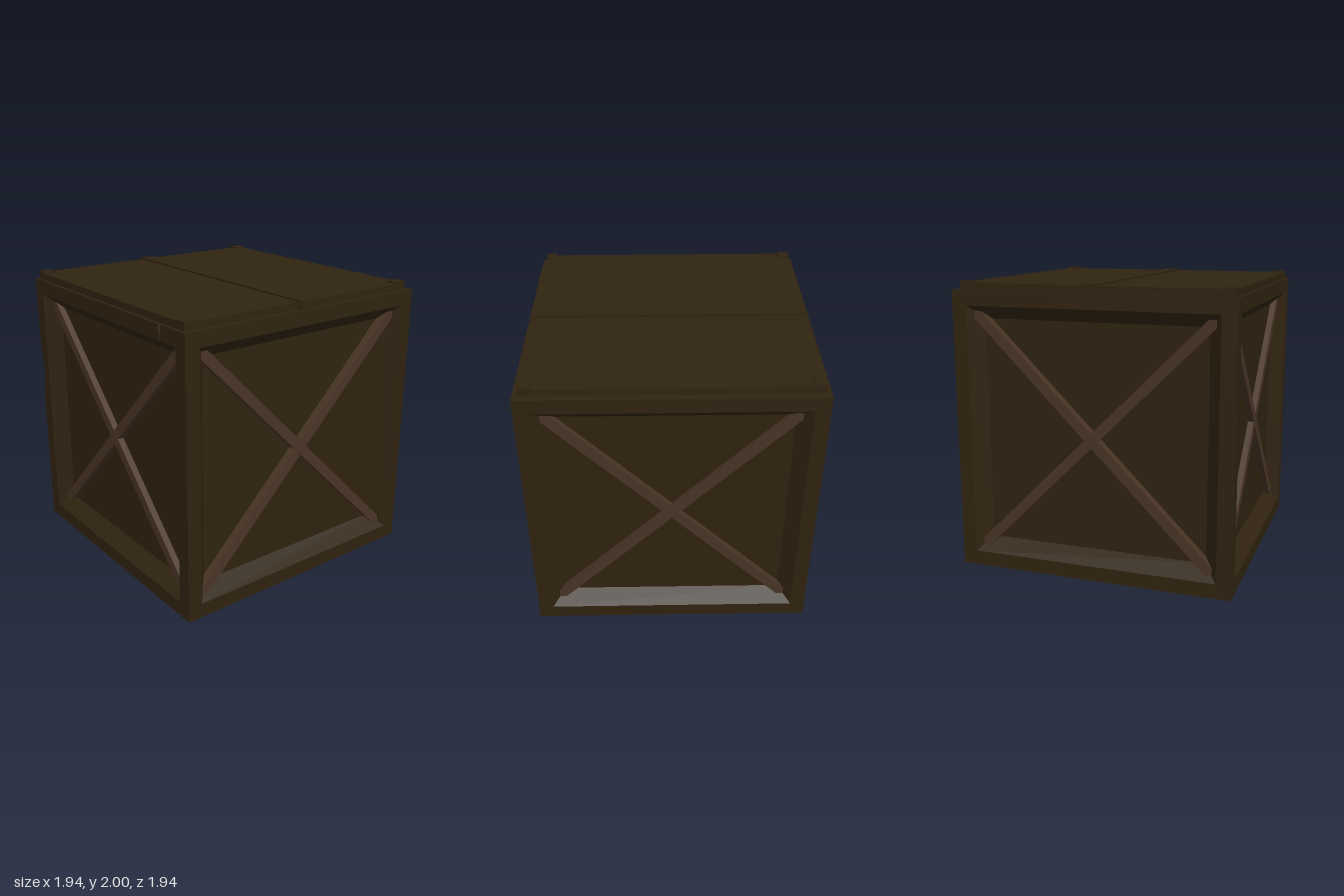
import * as THREE from 'three';

const H = 0.97;        // half size of the crate body
const OPEN = 0.868;    // half size of the recess mouth
const INNER = 0.778;   // half size of the recessed panel
const DEPTH = 0.1;     // recess depth

const wood = new THREE.MeshStandardMaterial({ color: 0x302310 });
wood.name = 'darkWood';
const braceWood = new THREE.MeshStandardMaterial({ color: 0x483425 });
braceWood.name = 'braceWood';

function add(parent, name, geometry, material, x = 0, y = 0, z = 0) {
  const mesh = new THREE.Mesh(geometry, material);
  mesh.name = name;
  mesh.position.set(x, y, z);
  parent.add(mesh);
  return mesh;
}

function triangles(points) {
  const g = new THREE.BufferGeometry();
  g.setAttribute('position', new THREE.Float32BufferAttribute(points.flat(), 3));
  g.computeVertexNormals();
  return g;
}

const square = (s) => [[-s, -s], [s, -s], [s, s], [-s, s]];
const toVectors = (pts) => pts.map(([x, y]) => new THREE.Vector2(x, y));

// Sloped walls running from the recess mouth down to the panel
function slopeGeometry() {
  const o = square(OPEN).map(([x, y]) => [x, y, H]);
  const n = square(INNER).map(([x, y]) => [x, y, H - DEPTH]);
  const pts = [];
  for (let i = 0; i < 4; i++) {
    const j = (i + 1) % 4;
    pts.push(o[i], o[j], n[j], o[i], n[j], n[i]);
  }
  return triangles(pts);
}

// One crate side, facing +z before it is turned into place
function crateSide(name, outline, recessed, braceDepth) {
  const side = new THREE.Group();
  side.name = name;
  const shape = new THREE.Shape(toVectors(outline));
  if (recessed) {
    shape.holes.push(new THREE.Path(toVectors(square(OPEN).reverse())));
    add(side, 'recessSlopes', slopeGeometry(), wood);
    add(side, 'panel', new THREE.PlaneGeometry(INNER * 2, INNER * 2), wood, 0, 0, H - DEPTH);
  }
  add(side, 'frame', new THREE.ShapeGeometry(shape), wood, 0, 0, H);
  if (braceDepth) {
    // Crossed braces, their ends buried in the sloped walls
    for (const s of [-1, 1]) {
      const front = H - braceDepth - (s > 0 ? 0.002 : 0);
      const back = H - DEPTH - 0.005;
      const brace = add(side, 'brace', new THREE.BoxGeometry(2.4, 0.07, front - back), braceWood,
        0, 0, (front + back) / 2);
      brace.rotation.z = s * Math.PI / 4;
    }
  }
  return side;
}

export function createModel() {
  const crate = new THREE.Group();
  crate.name = 'crate';

  const body = new THREE.Group();
  body.name = 'body';
  body.position.y = H;
  crate.add(body);

  // Outlines with small chips in the front left and front top edges
  const frontOutline = [[-H, -H], [H, -H], [H, H], [0.72, H], [0.7, 0.87], [0.68, H],
    [-H, H], [-H, 0.48], [-0.92, 0.265], [-H, 0.03]];
  const chippedSide = [[-H, -H], [H, -H], [H, 0.03], [0.955, 0.265], [H, 0.48], [H, H], [-H, H]];
  const topOutline = [[-H, -H], [0.68, -H], [0.7, -0.95], [0.72, -H], [H, -H], [H, H], [-H, H]];

  const q = Math.PI / 2;
  const sides = [
    ['frontSide', frontOutline, true, 0.055, 0, 0],
    ['backSide', square(H), true, 0.055, 0, 2 * q],
    ['leftSide', square(H), true, 0.04, 0, q],
    ['rightSide', chippedSide, true, 0.04, 0, -q],
    ['topSide', topOutline, false, 0, -q, 0],
    ['bottomSide', square(H), true, 0, q, 0],
  ];
  for (const [name, outline, recessed, braceDepth, rx, ry] of sides) {
    const side = crateSide(name, outline, recessed, braceDepth);
    side.rotation.set(rx, ry, 0);
    body.add(side);
  }

  // Cut faces inside the chips
  const a = [-H, 0.03, H], b = [-0.92, 0.265, H], c = [-H, 0.48, H], d = [-H, 0.265, 0.955];
  add(body, 'edgeChip', triangles([a, b, d, b, c, d]), wood);
  const p = [0.68, H, H], t = [0.7, 0.87, H], r = [0.72, H, H], e = [0.7, H, 0.95];
  add(body, 'topChip', triangles([p, t, e, t, r, e]), wood);

  // Lid with a centre batten and corner blocks
  const lid = new THREE.Group();
  lid.name = 'lid';
  crate.add(lid);
  add(lid, 'lidBoard', new THREE.BoxGeometry(1.865, 0.05, 1.87), wood, 0, 1.963, 0.012);
  add(lid, 'centreBatten', new THREE.BoxGeometry(1.89, 0.06, 0.11), wood, 0, 1.97, 0.01);
  for (const x of [-0.9, 0.895]) {
    for (const z of [-0.88, 0.907]) {
      add(lid, 'cornerBlock', new THREE.BoxGeometry(0.076, 0.06, 0.087), wood, x, 1.97, z);
    }
  }
  return crate;
}
